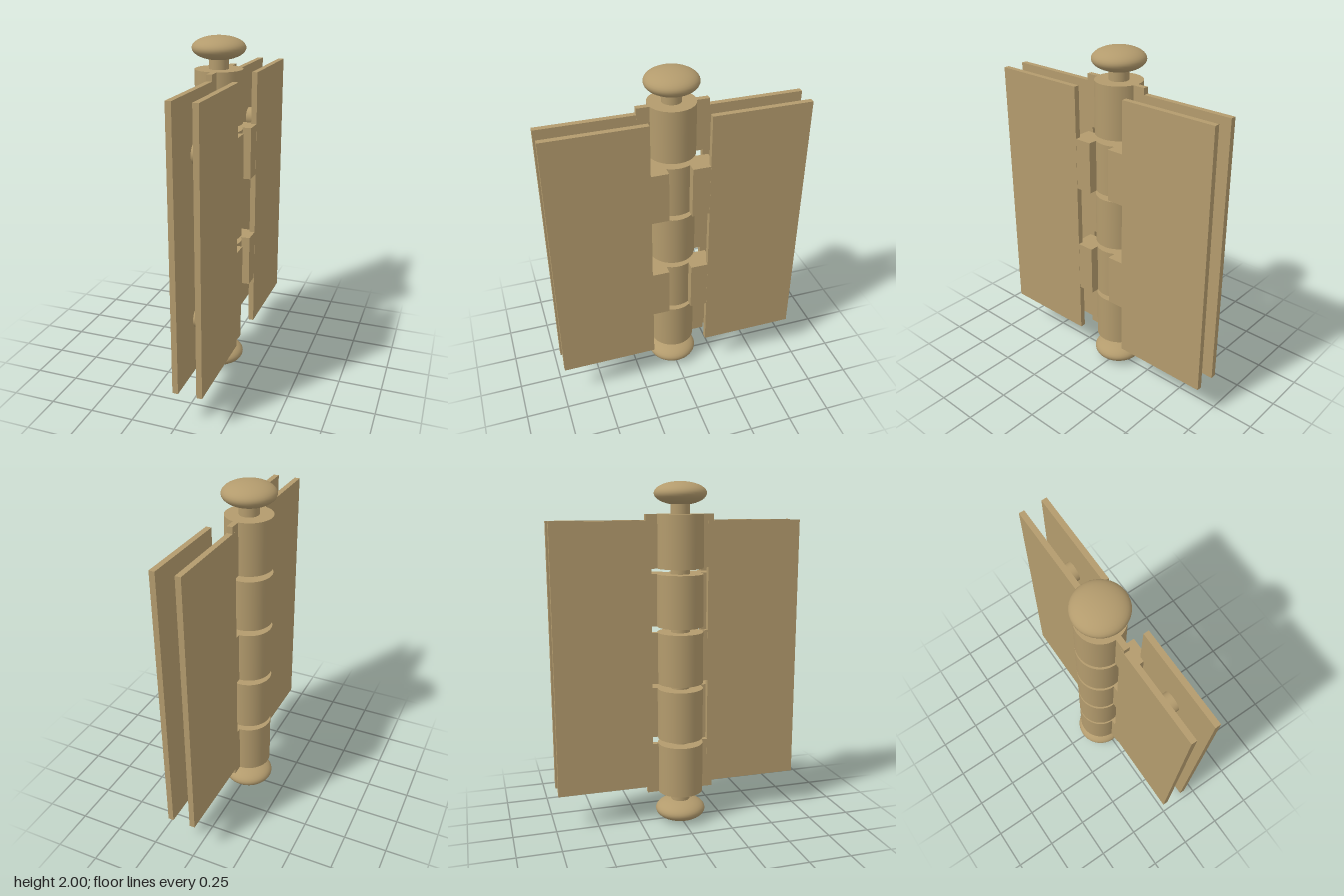
import * as THREE from 'three';

const AXIS_X = -0.011;
const material = new THREE.MeshStandardMaterial({ color: 0xb39b6d });

export function createModel() {
  const model = new THREE.Group();
  model.name = 'hinge';

  const add = (name, geometry, x, y, z) => {
    const mesh = new THREE.Mesh(geometry, material);
    mesh.name = name;
    mesh.position.set(x, y, z);
    model.add(mesh);
    return mesh;
  };
  // box given by its limits on each axis
  const addBox = (name, x0, x1, y0, y1, z0, z1) =>
    add(name, new THREE.BoxGeometry(x1 - x0, y1 - y0, Math.abs(z1 - z0)),
      (x0 + x1) / 2, (y0 + y1) / 2, (z0 + z1) / 2);

  // pin with a flattened knob at each end
  add('pin', new THREE.CylinderGeometry(0.055, 0.055, 1.86, 32), AXIS_X, 1.003, 0);
  for (const y of [0.07, 1.935]) {
    const knob = add('pinKnob', new THREE.SphereGeometry(0.148, 40, 20), AXIS_X, y, 0);
    knob.scale.y = 0.065 / 0.148;
  }

  // five knuckles, alternately joined to the inner and the outer leaves
  for (let i = 0; i < 5; i++) {
    const y0 = 0.187 + i * 0.3335;
    const y1 = y0 + 0.301;
    add('knuckle', new THREE.CylinderGeometry(0.133, 0.133, 0.301, 48), AXIS_X, (y0 + y1) / 2, 0);
    for (const s of [-1, 1]) {
      if (i % 2 === 0) addBox('innerLeafTab', -0.01, 0.022, y0, y1, s * 0.1, s * 0.2);
      else addBox('outerLeafBlock', 0.02, 0.156, y0, y1, s * 0.067, s * 0.2);
    }
  }

  // leaves and spacer discs on both sides of the pin
  for (const s of [-1, 1]) {
    addBox('innerLeaf', -0.011, 0.021, 0.222, 1.785, s * 0.168, s * 0.733);
    addBox('outerLeaf', 0.125, 0.157, 0.222, 1.785, s * 0.168, s * 0.733);
    for (const y of [0.54, 1.467]) {
      for (const x of [0.038, 0.107]) {
        const disc = add('spacerDisc', new THREE.CylinderGeometry(0.057, 0.057, 0.036, 32), x, y, s * 0.45);
        disc.rotation.z = Math.PI / 2;
      }
    }
  }
  return model;
}
